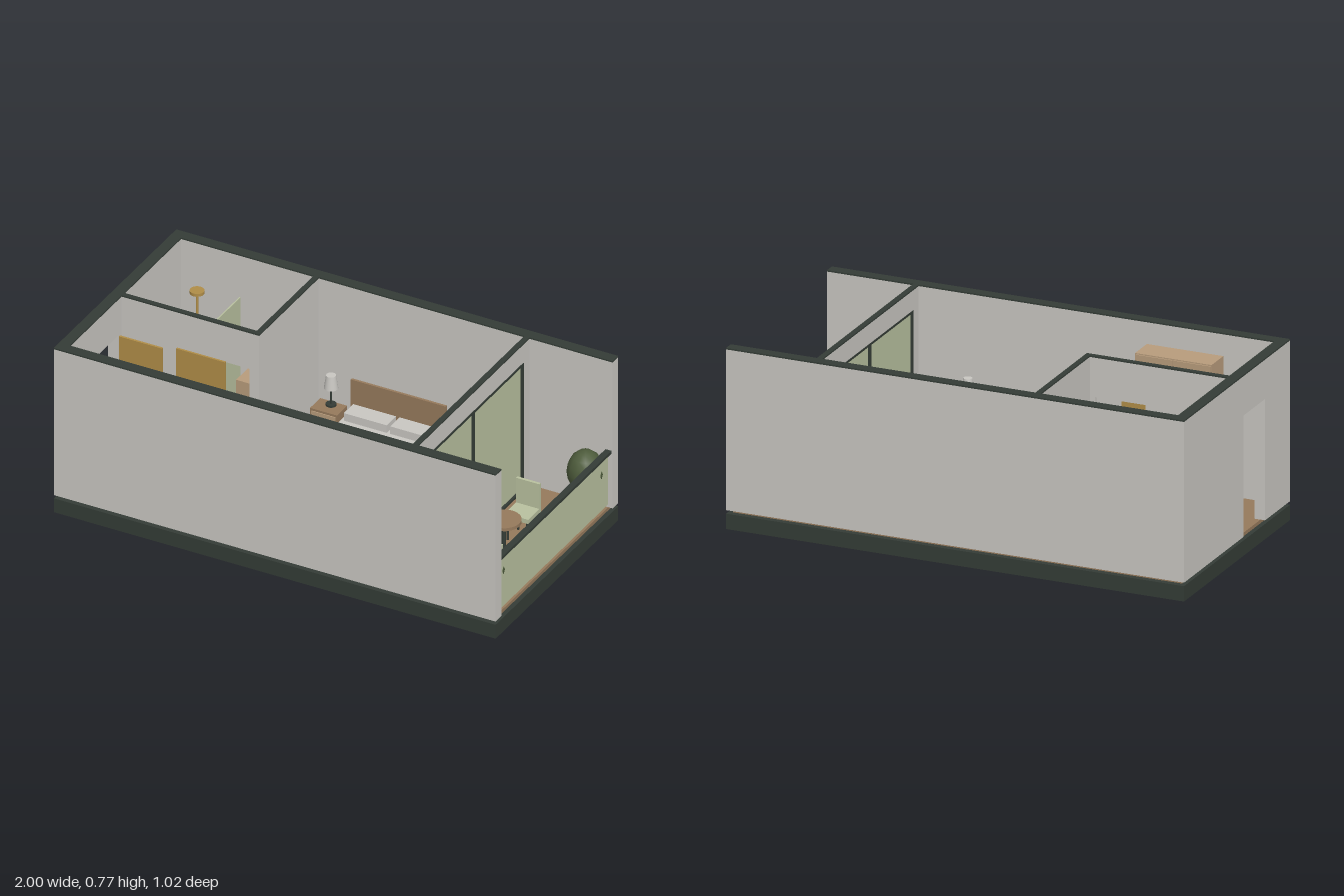
import * as THREE from 'three';

const mat = (name, color) => {
  const m = new THREE.MeshStandardMaterial({ color });
  m.name = name;
  return m;
};

export function createModel() {
  const M = {
    charcoal: mat('charcoal', 0x343c36),
    plaster: mat('plaster', 0xc9c7c2),
    wood: mat('wood', 0x967a5c),
    lightWood: mat('lightWood', 0xb89c7c),
    sage: mat('sage', 0xb9c19f),
    green: mat('green', 0x4e5c3c),
    brass: mat('brass', 0xb08d48),
  };
  const root = new THREE.Group();
  root.name = 'roomCutaway';
  const F = 0.08, TOP = 0.762, IN = 0.463; // floor level, wall top, inner wall face

  const add = (parent, name, geo, m) => {
    const mesh = new THREE.Mesh(geo, m);
    mesh.name = name;
    parent.add(mesh);
    return mesh;
  };
  // box from its extents
  const box = (p, name, m, x0, x1, y0, y1, z0, z1) => {
    const b = add(p, name, new THREE.BoxGeometry(x1 - x0, y1 - y0, z1 - z0), m);
    b.position.set((x0 + x1) / 2, (y0 + y1) / 2, (z0 + z1) / 2);
    return b;
  };
  const cyl = (p, name, m, x, z, y0, y1, rBottom, rTop = rBottom) => {
    const c = add(p, name, new THREE.CylinderGeometry(rTop, rBottom, y1 - y0, 20), m);
    c.position.set(x, (y0 + y1) / 2, z);
    return c;
  };
  const group = (name, x = 0, z = 0, turn = 0) => {
    const g = new THREE.Group();
    g.name = name;
    g.position.set(x, 0, z);
    g.rotation.y = turn;
    root.add(g);
    return g;
  };
  const cap = (x0, x1, z0, z1) => box(root, 'wallCap', M.charcoal, x0, x1, TOP, TOP + 0.006, z0, z1);

  // base and floors
  box(root, 'base', M.charcoal, -1, 1, 0, 0.065, -0.51, 0.51);
  box(root, 'floor', M.wood, -0.98, 0.98, 0.065, F, -0.485, 0.485);
  box(root, 'bathroomFloor', M.plaster, -0.953, -0.353, F, F + 0.005, -IN, 0.01);

  // outer walls, the left one with the entrance opening
  for (const s of [-1, 1]) {
    const a = s < 0 ? -0.51 : IN, b = s < 0 ? -IN : 0.51;
    box(root, 'longWall', M.plaster, -1, 1, F, TOP, a, b);
    cap(-1, 1, a, b);
  }
  box(root, 'entranceWall', M.plaster, -1, -0.953, F, TOP, -IN, 0.06);
  box(root, 'entranceWall', M.plaster, -1, -0.953, F, TOP, 0.27, IN);
  box(root, 'entranceLintel', M.plaster, -1, -0.953, 0.595, TOP, 0.06, 0.27);
  cap(-1, -0.953, -IN, IN);
  box(root, 'entranceDoor', M.brass, -0.95, -0.755, F + 0.003, 0.592, 0.05, 0.06);

  // bathroom walls and sliding door
  box(root, 'bathroomSideWall', M.plaster, -0.353, -0.33, F, TOP, -IN, 0.032);
  box(root, 'bathroomWall', M.plaster, -0.953, -0.595, F, TOP, 0.01, 0.032);
  box(root, 'bathroomWall', M.plaster, -0.375, -0.353, F, TOP, 0.01, 0.032);
  box(root, 'bathroomLintel', M.plaster, -0.595, -0.375, 0.595, TOP, 0.01, 0.032);
  cap(-0.353, -0.33, -IN, 0.032);
  cap(-0.953, -0.353, 0.01, 0.032);
  box(root, 'slidingDoor', M.brass, -0.7, -0.48, F + 0.003, 0.6, 0.034, 0.043);

  // glazed partition to the balcony
  for (const s of [-1, 1]) {
    const a = s < 0 ? -IN : 0.412, b = s < 0 ? -0.412 : IN;
    box(root, 'partitionWall', M.plaster, 0.6, 0.624, F, TOP, a, b);
  }
  box(root, 'partitionLintel', M.plaster, 0.6, 0.624, 0.677, TOP, -0.412, 0.412);
  cap(0.6, 0.624, -IN, IN);
  box(root, 'glazing', M.sage, 0.608, 0.616, F, 0.677, -0.41, 0.41);
  for (const z of [-0.408, 0, 0.408]) box(root, 'windowPost', M.charcoal, 0.599, 0.627, F, 0.677, z - 0.005, z + 0.005);
  for (const y of [F, 0.668]) box(root, 'windowRail', M.charcoal, 0.599, 0.627, y, y + 0.01, -0.412, 0.412);

  // balcony balustrade
  box(root, 'balustradePanel', M.sage, 0.968, 0.979, 0.092, 0.338, -IN, IN);
  box(root, 'handrail', M.charcoal, 0.968, 0.996, 0.336, 0.348, -IN, IN);

  // potted shrubs
  for (const z of [-0.41, 0.405]) {
    const g = group('plant', 0.906, z);
    cyl(g, 'pot', M.lightWood, 0, 0, F, 0.19, 0.041, 0.052);
    const leaf = add(g, 'foliage', new THREE.SphereGeometry(0.076, 12, 8), M.green);
    leaf.scale.y = 1.25;
    leaf.position.y = 0.257;
  }

  // small chairs; the back sits on the local -z side
  const chair = (x, z, turn) => {
    const g = group('chair', x, z, turn);
    box(g, 'seat', M.sage, -0.053, 0.053, 0.185, 0.205, -0.053, 0.053);
    box(g, 'backrest', M.sage, -0.053, 0.053, 0.205, 0.32, -0.053, -0.041);
    for (const sx of [-1, 1]) for (const sz of [-1, 1]) cyl(g, 'leg', M.charcoal, sx * 0.044, sz * 0.044, F, 0.185, 0.005);
  };
  chair(0.79, -0.102, 0);
  chair(0.79, 0.213, Math.PI);
  chair(0.458, 0.262, 0);

  // balcony table
  const table = group('roundTable', 0.79, 0.057);
  cyl(table, 'tableTop', M.wood, 0, 0, 0.238, 0.252, 0.072);
  cyl(table, 'tableStem', M.charcoal, 0, 0, F, 0.238, 0.009);
  cyl(table, 'tableFoot', M.charcoal, 0, 0, F, 0.088, 0.04);

  // bed
  const bed = group('bed', 0.035);
  box(bed, 'headboard', M.wood, -0.215, 0.215, F, 0.34, -IN, -0.452);
  box(bed, 'bedFrame', M.wood, -0.213, 0.213, F, 0.13, -0.452, -0.005);
  box(bed, 'mattress', M.plaster, -0.215, 0.215, 0.13, 0.195, -0.452, -0.006);
  box(bed, 'blanket', M.sage, -0.219, 0.219, 0.12, 0.202, -0.33, 0.004);
  box(bed, 'bedRunner', M.green, -0.221, 0.221, 0.12, 0.206, -0.155, -0.083);
  for (const x of [-0.105, 0.105]) box(bed, 'pillow', M.plaster, x - 0.097, x + 0.097, 0.195, 0.23, -0.45, -0.372);

  // lamps
  const lamp = (name, x, z, y0, y1, r, h) => {
    const g = group(name, x, z);
    cyl(g, 'lampFoot', M.charcoal, 0, 0, y0, y0 + 0.008, r * 0.75);
    cyl(g, 'lampStem', M.charcoal, 0, 0, y0, y1 - h, 0.004);
    cyl(g, 'lampShade', M.plaster, 0, 0, y1 - h, y1, r, r * 0.7);
  };
  lamp('floorLamp', 0.547, -0.145, F, 0.53, 0.044, 0.08);
  lamp('deskLamp', 0.375, 0.44, 0.29, 0.415, 0.026, 0.05);

  // nightstands
  for (const [x, lx] of [[-0.262, -0.26], [0.325, 0.325]]) {
    const g = group('nightstand', x);
    box(g, 'cabinet', M.wood, -0.061, 0.061, F, 0.205, -IN, -0.378);
    box(g, 'drawerFront', M.lightWood, -0.054, 0.054, 0.15, 0.195, -0.378, -0.374);
    lamp('bedsideLamp', lx, -0.437, 0.205, 0.345, 0.029, 0.06);
  }

  // armchair facing the bed
  const arm = group('armchair', 0.495, -0.3);
  box(arm, 'armchairBase', M.sage, -0.09, 0.09, 0.1, 0.17, -0.09, 0.09);
  box(arm, 'armchairBack', M.sage, 0.055, 0.09, 0.17, 0.32, -0.09, 0.09);
  box(arm, 'armchairCushion', M.plaster, -0.085, 0.05, 0.17, 0.2, -0.06, 0.06);
  for (const s of [-1, 1]) {
    box(arm, 'armrest', M.sage, -0.09, 0.055, 0.17, 0.235, s * 0.076 - 0.014, s * 0.076 + 0.014);
    for (const x of [-0.075, 0.075]) cyl(arm, 'armchairLeg', M.charcoal, x, s * 0.075, F, 0.1, 0.006);
  }

  // desk
  const desk = group('desk', 0.463);
  box(desk, 'deskTop', M.wood, -0.121, 0.121, 0.272, 0.29, 0.343, IN);
  for (const x of [-0.112, 0.112]) for (const z of [0.352, 0.452]) box(desk, 'deskLeg', M.charcoal, x - 0.006, x + 0.006, F, 0.272, z - 0.006, z + 0.006);

  // low console with door fronts
  box(root, 'console', M.wood, -0.32, 0.315, F, 0.21, 0.375, IN);
  for (let i = 0; i < 4; i++) {
    const x = -0.312 + i * 0.156;
    box(root, 'consoleDoor', M.lightWood, x, x + 0.15, 0.095, 0.2, 0.371, 0.375);
  }

  // wardrobe with two doors
  const robe = group('wardrobe', -0.563);
  box(robe, 'wardrobeBody', M.lightWood, -0.167, 0.167, F, 0.67, 0.35, IN);
  for (const s of [-1, 1]) {
    box(robe, 'wardrobeDoor', M.lightWood, s * 0.083 - 0.081, s * 0.083 + 0.081, 0.09, 0.665, 0.345, 0.35);
    box(robe, 'wardrobeHandle', M.charcoal, s * 0.014 - 0.003, s * 0.014 + 0.003, 0.33, 0.42, 0.339, 0.345);
  }

  // vanity with round basin
  box(root, 'vanity', M.lightWood, -0.648, -0.37, F, 0.25, -IN, -0.36);
  cyl(root, 'basin', M.plaster, -0.508, -0.415, 0.25, 0.28, 0.036, 0.047);

  // toilet
  box(root, 'cistern', M.plaster, -0.953, -0.93, F, 0.29, -0.157, -0.052);
  cyl(root, 'toiletBowl', M.plaster, -0.867, -0.103, F, 0.19, 0.034, 0.048);

  // shower
  box(root, 'showerScreen', M.sage, -0.689, -0.683, F, 0.57, -IN, -0.245);
  cyl(root, 'showerPipe', M.brass, -0.83, -0.37, F, 0.6, 0.005);
  cyl(root, 'showerHead', M.brass, -0.83, -0.37, 0.597, 0.61, 0.03);

  return root;
}
